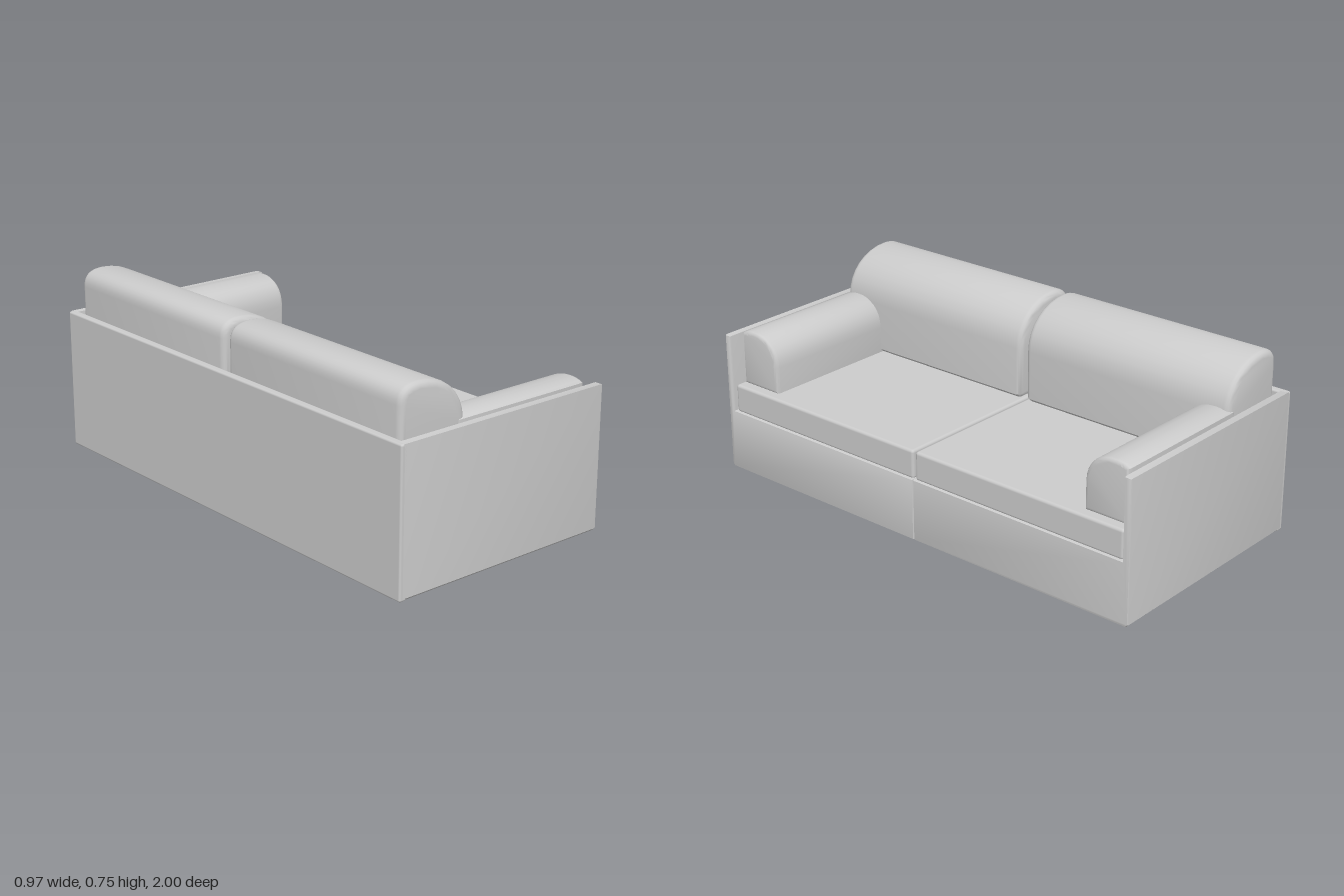
import * as THREE from 'three';
import { toCreasedNormals } from 'three/addons/utils/BufferGeometryUtils.js';
import { RoundedBoxGeometry } from 'three/addons/geometries/RoundedBoxGeometry.js';

const material = new THREE.MeshStandardMaterial({ color: 0xcccccc });

function part(parent, name, geometry) {
  const mesh = new THREE.Mesh(geometry, material);
  mesh.name = name;
  parent.add(mesh);
  return mesh;
}

// Box given by its limits on each axis, with softened edges
function softBox([x0, x1], [y0, y1], [z0, z1], radius) {
  return new RoundedBoxGeometry(x1 - x0, y1 - y0, z1 - z0, 2, radius)
    .translate((x0 + x1) / 2, (y0 + y1) / 2, (z0 + z1) / 2);
}

// Shape swept from a to b along z, with bevelled ends that stay inside the outline
function sweep(shape, a, b, bevel, segments) {
  const geometry = new THREE.ExtrudeGeometry(shape, {
    depth: b - a - 2 * bevel, curveSegments: 8,
    bevelSize: bevel, bevelThickness: bevel, bevelOffset: -bevel, bevelSegments: segments,
  });
  return geometry.translate(0, 0, a + bevel);
}

// Same sweep, but along x; the shape's first axis becomes -z
function sweepX(shape, a, b, bevel, segments) {
  return sweep(shape, a, b, bevel, segments).rotateY(Math.PI / 2);
}

// L-shaped half of the frame: base plus end panel
function frameShape(s) {
  const points = [[0.001, 0], [0.99, 0], [1, 0.01], [1, 0.57], [0.97, 0.57], [0.97, 0.25], [0.001, 0.25]];
  return new THREE.Shape(points.map(([z, y]) => new THREE.Vector2(-s * z, y)));
}

// Bolster section: flat outside, rounded towards the seat
function bolsterShape(s) {
  const shape = new THREE.Shape();
  shape.moveTo(-s * 0.955, 0.36);
  shape.lineTo(-s * 0.955, 0.575);
  shape.quadraticCurveTo(-s * 0.93, 0.59, -s * 0.89, 0.59);
  shape.bezierCurveTo(-s * 0.82, 0.59, -s * 0.765, 0.55, -s * 0.765, 0.47);
  shape.lineTo(-s * 0.765, 0.36);
  return shape;
}

// Back cushion section: upright back, domed top sloping to the front
function backCushionShape() {
  const shape = new THREE.Shape();
  shape.moveTo(-0.45, 0.36);
  shape.lineTo(-0.45, 0.68);
  shape.bezierCurveTo(-0.45, 0.73, -0.42, 0.75, -0.36, 0.75);
  shape.bezierCurveTo(-0.25, 0.75, -0.15, 0.68, -0.15, 0.57);
  shape.lineTo(-0.15, 0.375);
  shape.lineTo(-0.165, 0.36);
  return shape;
}

export function createModel() {
  const sofa = new THREE.Group();
  sofa.name = 'sofa';

  // Full-width back panel
  part(sofa, 'backPanel', softBox([-0.487, -0.455], [0, 0.57], [-1, 1], 0.008));

  // Two mirrored halves
  for (const s of [1, -1]) {
    const half = new THREE.Group();
    half.name = s > 0 ? 'rightHalf' : 'leftHalf';
    sofa.add(half);

    part(half, 'frame', toCreasedNormals(sweepX(frameShape(s), -0.48, 0.487, 0.008, 2), 0.6));

    const span = (near, far) => (s > 0 ? [near, far] : [-far, -near]);
    part(half, 'seatCushion', softBox([-0.455, 0.475], [0.245, 0.363], span(0.005, 0.965), 0.012));

    const [z0, z1] = span(0.012, 0.952);
    part(half, 'backCushion', toCreasedNormals(sweep(backCushionShape(), z0, z1, 0.025, 4), 0.7));

    part(half, 'armBolster', toCreasedNormals(sweepX(bolsterShape(s), -0.19, 0.437, 0.015, 3), 0.7));
  }
  return sofa;
}
